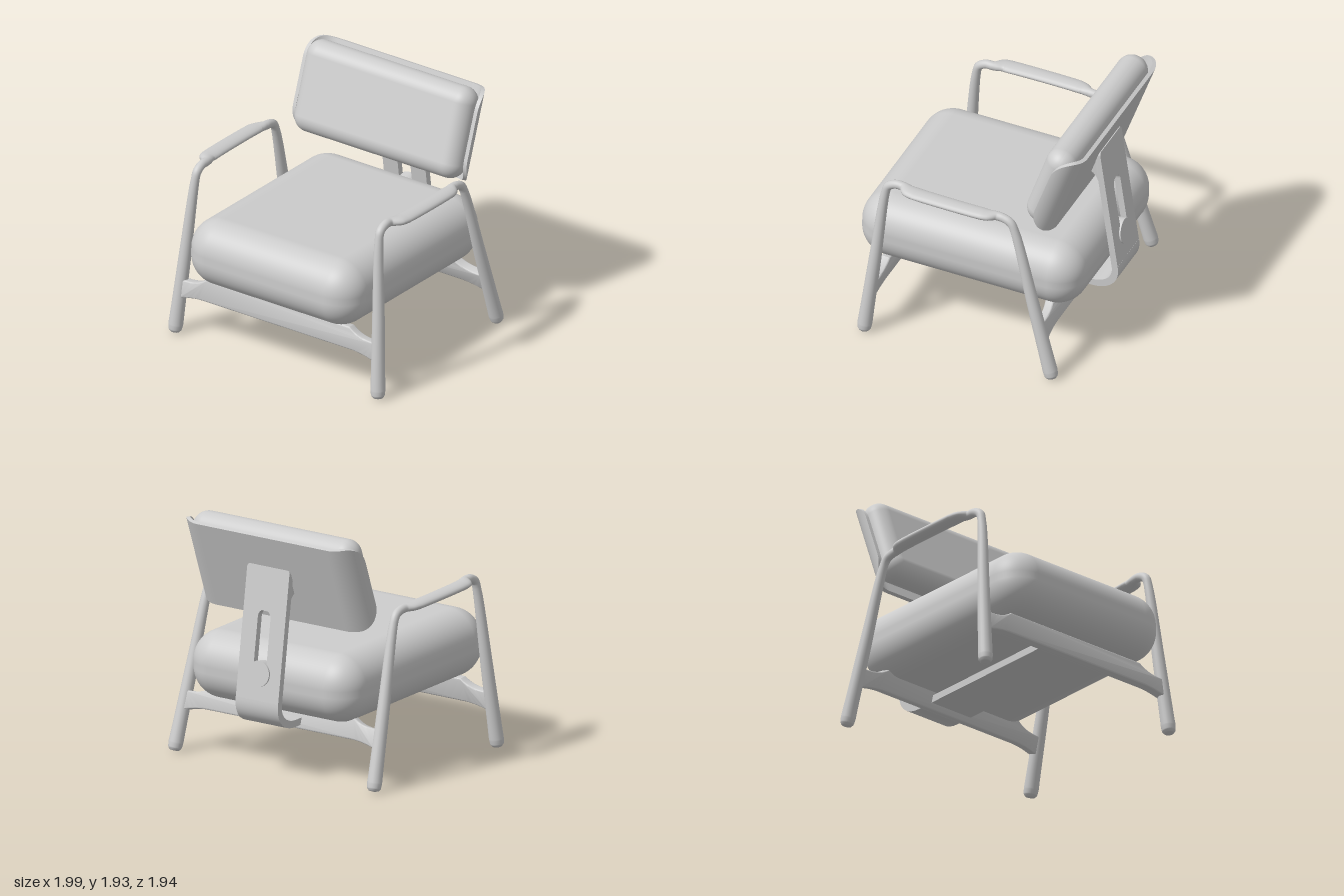
import * as THREE from 'three';
import { toCreasedNormals } from 'three/addons/utils/BufferGeometryUtils.js';
import { RoundedBoxGeometry } from 'three/addons/geometries/RoundedBoxGeometry.js';

const paleGrey = new THREE.MeshStandardMaterial({ color: 0xcccccc });
paleGrey.name = 'paleGrey';

function add(parent, name, geometry, position = [0, 0, 0], tilt = 0) {
  const mesh = new THREE.Mesh(geometry, paleGrey);
  mesh.name = name;
  mesh.position.set(...position);
  mesh.rotation.x = tilt;
  parent.add(mesh);
  return mesh;
}

// Sweeps an ellipse along stations [x, y, z, radiusX, radiusNormal]
function loft(stations, perSpan = 6, sides = 20) {
  const curve = new THREE.CatmullRomCurve3(stations.map(s => new THREE.Vector3(s[0], s[1], s[2])));
  const spans = stations.length - 1, rings = spans * perSpan;
  const positions = [], index = [];
  for (let i = 0; i <= rings; i++) {
    const k = Math.min(Math.floor(i / perSpan), spans - 1), f = i / perSpan - k;
    const rx = THREE.MathUtils.lerp(stations[k][3], stations[k + 1][3], f);
    const rn = THREE.MathUtils.lerp(stations[k][4], stations[k + 1][4], f);
    const p = curve.getPoint(i / rings), t = curve.getTangent(i / rings);
    const side = new THREE.Vector3(1, 0, 0).addScaledVector(t, -t.x).normalize();
    const up = t.clone().cross(side);
    for (let j = 0; j < sides; j++) {
      const a = (j / sides) * Math.PI * 2;
      const v = p.clone().addScaledVector(side, Math.cos(a) * rx).addScaledVector(up, Math.sin(a) * rn);
      positions.push(v.x, v.y, v.z);
      if (i < rings) {
        const p0 = i * sides + j, p1 = i * sides + (j + 1) % sides;
        index.push(p0, p1, p0 + sides, p1, p1 + sides, p0 + sides);
      }
    }
  }
  const g = new THREE.BufferGeometry();
  g.setAttribute('position', new THREE.Float32BufferAttribute(positions, 3));
  g.setIndex(index);
  g.computeVertexNormals();
  return g;
}

// Leg stations from the rounded foot up to the bend
function leg(foot, top) {
  const steps = [[0, 0.001], [0.004, 0.036], [0.02, 0.052], [0.055, 0.057], [0.5, 0.048], [1, 0.033]];
  return steps.map(([t, r]) => [...foot.map((f, i) => f + (top[i] - f) * t), r, r]);
}

// One continuous side frame: front leg, flattened armrest, back leg
function sideFrame(s) {
  const stations = [
    ...leg([0.943, 0, 0.806], [0.853, 1.27, 0.664]),
    [0.85, 1.325, 0.642, 0.034, 0.034],
    [0.85, 1.356, 0.58, 0.034, 0.034],
    [0.852, 1.355, 0.52, 0.036, 0.034],
    [0.888, 1.352, 0.455, 0.066, 0.033],
    [0.896, 1.349, 0.4, 0.07, 0.033],
    [0.9, 1.328, -0.15, 0.067, 0.033],
    [0.893, 1.325, -0.2, 0.06, 0.033],
    [0.872, 1.322, -0.26, 0.036, 0.034],
    [0.87, 1.315, -0.315, 0.033, 0.034],
    [0.872, 1.293, -0.37, 0.033, 0.034],
    ...leg([0.943, 0, -0.75], [0.875, 1.24, -0.405]).reverse(),
  ];
  return loft(stations.map(([x, ...rest]) => [x * s, ...rest]));
}

// Cross rail with flared ends, drawn about its own centre
function railGeometry() {
  const s = new THREE.Shape();
  s.moveTo(-0.9, -0.115);
  s.quadraticCurveTo(-0.78, -0.08, -0.68, -0.08);
  s.lineTo(0.68, -0.08);
  s.quadraticCurveTo(0.78, -0.08, 0.9, -0.115);
  s.lineTo(0.9, 0.035);
  s.bezierCurveTo(0.78, 0.035, 0.73, 0.05, 0.66, 0.1);
  s.lineTo(-0.66, 0.1);
  s.bezierCurveTo(-0.73, 0.05, -0.78, 0.035, -0.9, 0.035);
  const g = new THREE.ExtrudeGeometry(s, {
    depth: 0.05, bevelThickness: 0.012, bevelSize: 0.01, bevelOffset: -0.01, bevelSegments: 3, curveSegments: 12,
  });
  g.translate(0, 0, -0.025);
  return toCreasedNormals(g, 0.6);
}

// Extrudes a side profile (z, y) across the width
function acrossWidth(shape, width) {
  const g = new THREE.ExtrudeGeometry(shape, { depth: width, bevelEnabled: false, curveSegments: 16 });
  g.translate(0, 0, -width / 2);
  g.rotateY(-Math.PI / 2);
  return toCreasedNormals(g, 0.6);
}

// Rounded plate whose two ends bend forward
function shellGeometry() {
  const flat = 0.62, bend = 0.19, S = 0.905, H = 0.367, R = 0.18, thick = 0.03;
  const g = new THREE.BoxGeometry(2, 2, thick, 72, 6, 1);
  const p = g.attributes.position;
  for (let i = 0; i < p.count; i++) {
    const s = S * Math.sin(p.getX(i) * Math.PI / 2), d = Math.abs(s), z = p.getZ(i) + thick / 2;
    const c = Math.max(0, d - (S - R));
    const h = H - R + Math.sqrt(Math.max(0, R * R - c * c));
    const a = Math.max(0, d - flat) / bend;
    const x = Math.min(d, flat) + (bend - z) * Math.sin(a);
    p.setXYZ(i, Math.sign(s) * x, p.getY(i) * h, bend - (bend - z) * Math.cos(a));
  }
  return toCreasedNormals(g, 0.6);
}

// Slotted upright plate of the back support
function uprightGeometry() {
  const w = 0.2, top = 1.03, r = 0.03, slot = 0.06;
  const s = new THREE.Shape();
  s.moveTo(-w, 0);
  s.lineTo(w, 0);
  s.lineTo(w, top - r);
  s.quadraticCurveTo(w, top, w - r, top);
  s.lineTo(-w + r, top);
  s.quadraticCurveTo(-w, top, -w, top - r);
  const hole = new THREE.Path();
  hole.absarc(0, 0.64, slot, 0, Math.PI, false);
  hole.absarc(0, 0.24, slot, Math.PI, Math.PI * 2, false);
  s.holes.push(hole);
  return toCreasedNormals(new THREE.ExtrudeGeometry(s, { depth: 0.05, bevelEnabled: false, curveSegments: 16 }), 0.6);
}

export function createModel() {
  const chair = new THREE.Group();
  chair.name = 'armchair';

  // Side frames and cross rails
  add(chair, 'leftSideFrame', sideFrame(1));
  add(chair, 'rightSideFrame', sideFrame(-1));
  add(chair, 'frontRail', railGeometry(), [0, 0.41, 0.76], -0.11);
  add(chair, 'rearRail', railGeometry(), [0, 0.42, -0.633], 0.28);

  // Cushions
  add(chair, 'seatCushion', new RoundedBoxGeometry(1.58, 0.535, 1.84, 10, 0.24), [0, 0.755, 0.05], -0.033);
  add(chair, 'backCushion', new RoundedBoxGeometry(1.54, 0.72, 0.245, 8, 0.12), [0, 1.576, -0.626], -0.335);

  // Bent back shell
  add(chair, 'backShell', shellGeometry(), [0, 1.525, -0.775], -0.348);

  // Bent strap under the seat, rising into the slotted upright
  const strap = new THREE.Shape();
  strap.moveTo(0.73, 0.43);
  strap.lineTo(-0.74, 0.38);
  strap.bezierCurveTo(-0.9, 0.375, -0.985, 0.47, -0.963, 0.605);
  strap.lineTo(-0.913, 0.6);
  strap.bezierCurveTo(-0.93, 0.5, -0.86, 0.435, -0.74, 0.435);
  strap.lineTo(0.73, 0.485);
  add(chair, 'underSeatStrap', acrossWidth(strap, 0.4));

  const support = new THREE.Group();
  support.name = 'backSupport';
  support.position.set(0, 0.6, -0.963);
  support.rotation.x = 0.143;
  add(support, 'slottedUpright', uprightGeometry());
  const disc = new THREE.CylinderGeometry(0.1, 0.1, 0.075, 40);
  disc.rotateX(Math.PI / 2);
  add(support, 'adjusterDisc', disc, [0, 0.21, 0.025]);
  chair.add(support);

  // Curved wedge joining the upright to the shell
  const wedge = new THREE.Shape();
  wedge.moveTo(-0.815, 1.28);
  wedge.quadraticCurveTo(-0.79, 1.41, -0.725, 1.43);
  wedge.lineTo(-0.79, 1.6);
  wedge.lineTo(-0.81, 1.6);
  wedge.lineTo(-0.85, 1.28);
  add(chair, 'shellBracket', acrossWidth(wedge, 0.37));

  return chair;
}
